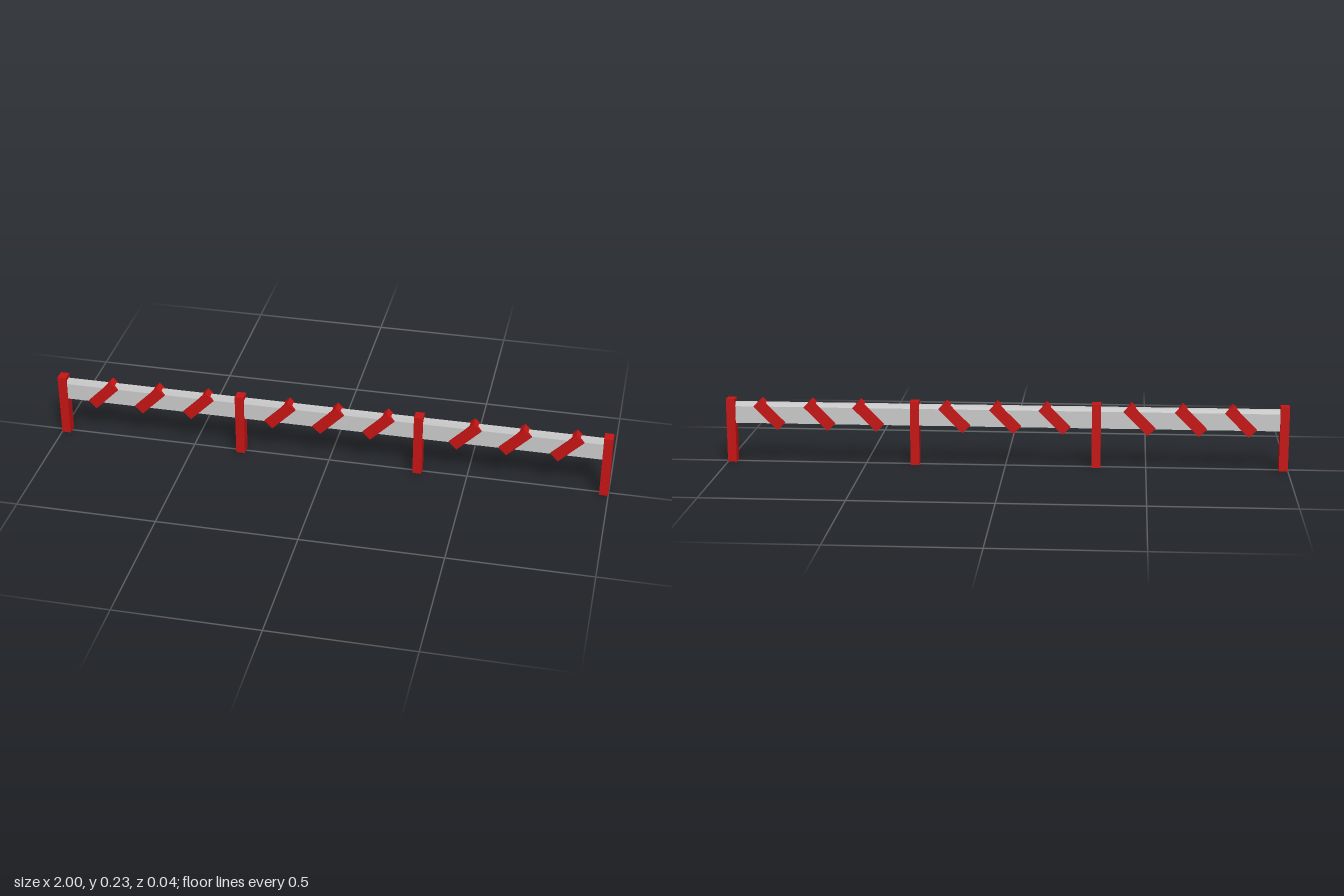
import * as THREE from 'three';

export function createModel() {
  const group = new THREE.Group();
  const red = new THREE.MeshStandardMaterial({ color: 0xc81414, flatShading: true });
  const grey = new THREE.MeshStandardMaterial({ color: 0xcccccc, flatShading: true });

  const add = (name, geometry, material, x, y, turn = 0) => {
    const mesh = new THREE.Mesh(geometry, material);
    mesh.name = name;
    mesh.position.set(x, y, 0);
    mesh.rotation.z = turn;
    group.add(mesh);
  };

  // Upright posts
  const postGeometry = new THREE.BoxGeometry(0.032, 0.231, 0.04);
  [-0.984, -0.323, 0.323, 0.984].forEach((x) => add('post', postGeometry, red, x, 0.1155));

  // Rail with chamfered top edges, its section extruded along x
  const section = new THREE.Shape([
    [-0.014, 0.143], [0.014, 0.143], [0.014, 0.204], [0.009, 0.218], [-0.009, 0.218], [-0.014, 0.204],
  ].map(([z, y]) => new THREE.Vector2(z, y)));
  const railGeometry = new THREE.ExtrudeGeometry(section, { depth: 1.96, bevelEnabled: false });
  railGeometry.translate(0, 0, -0.98).rotateY(Math.PI / 2);
  add('rail', railGeometry, grey, 0, 0);

  // Slanted stripes passing through the rail, three to each bay
  const stripeGeometry = new THREE.BoxGeometry(0.121, 0.04, 0.04);
  for (const bay of [-0.656, 0, 0.664]) {
    for (const offset of [-0.175, 0, 0.181]) {
      add('stripe', stripeGeometry, red, bay + offset, 0.176, Math.PI / 4);
    }
  }
  return group;
}
